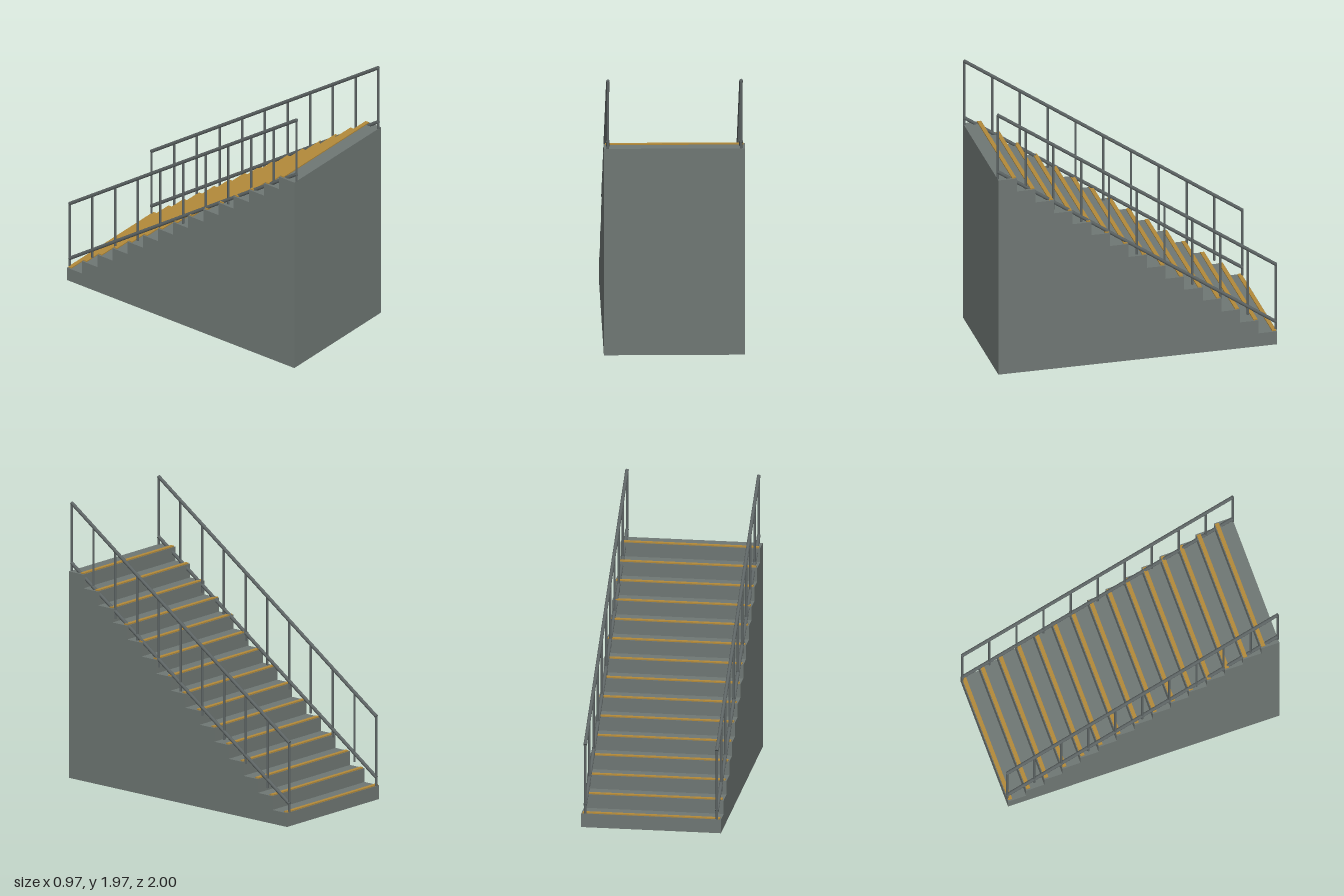
import * as THREE from 'three';

export function createModel() {
  const model = new THREE.Group();
  model.name = 'staircase';
  const concrete = new THREE.MeshStandardMaterial({ name: 'concrete grey', color: 0x6f7774 });
  const steel = new THREE.MeshStandardMaterial({ name: 'steel grey', color: 0x5d6464 });
  const ochre = new THREE.MeshStandardMaterial({ name: 'ochre nosing', color: 0xb38a3a });

  const COUNT = 15, HALF = 0.993, WIDTH = 0.974;
  const run = (2 * HALF) / COUNT, rise = 1.475 / COUNT;

  function box(name, w, h, d, y, z, material, parent) {
    const mesh = new THREE.Mesh(new THREE.BoxGeometry(w, h, d), material);
    mesh.name = name;
    mesh.position.set(0, y, z);
    parent.add(mesh);
  }

  // Round bar between two points
  function bar(name, a, b, radius, parent) {
    const dir = b.clone().sub(a);
    const mesh = new THREE.Mesh(new THREE.CylinderGeometry(radius, radius, dir.length(), 12), steel);
    mesh.name = name;
    mesh.position.copy(a).add(b).multiplyScalar(0.5);
    mesh.quaternion.setFromUnitVectors(new THREE.Vector3(0, 1, 0), dir.normalize());
    parent.add(mesh);
  }

  // Solid steps rising towards +z, each with a strip near its leading edge
  const steps = new THREE.Group();
  steps.name = 'steps';
  model.add(steps);
  for (let i = 0; i < COUNT; i++) {
    const h = rise * (i + 1);
    const edge = -HALF + run * i;
    box('step', WIDTH, h, run, h / 2, edge + run / 2, concrete, steps);
    box('nosing', 0.956, 0.009, 0.028, h + 0.0035, edge + 0.019, ochre, steps);
  }

  // Railings: two sloping rails joined by upright posts
  const END = 0.992, POSTS = 11;
  for (const side of [1, -1]) {
    const railing = new THREE.Group();
    railing.name = side > 0 ? 'leftRailing' : 'rightRailing';
    model.add(railing);
    const at = (y, z) => new THREE.Vector3(side * 0.459, y, z);
    bar('handrail', at(0.595, -END), at(1.96, END), 0.0125, railing);
    bar('lowerRail', at(0.16, -END), at(1.53, END), 0.0125, railing);
    for (let i = 0; i < POSTS; i++) {
      const t = i / (POSTS - 1);
      const z = THREE.MathUtils.lerp(-0.99, 0.99, t);
      bar('post', at(0.1 + 1.375 * t, z), at(0.595 + 1.365 * t, z), 0.0085, railing);
    }
  }
  return model;
}
